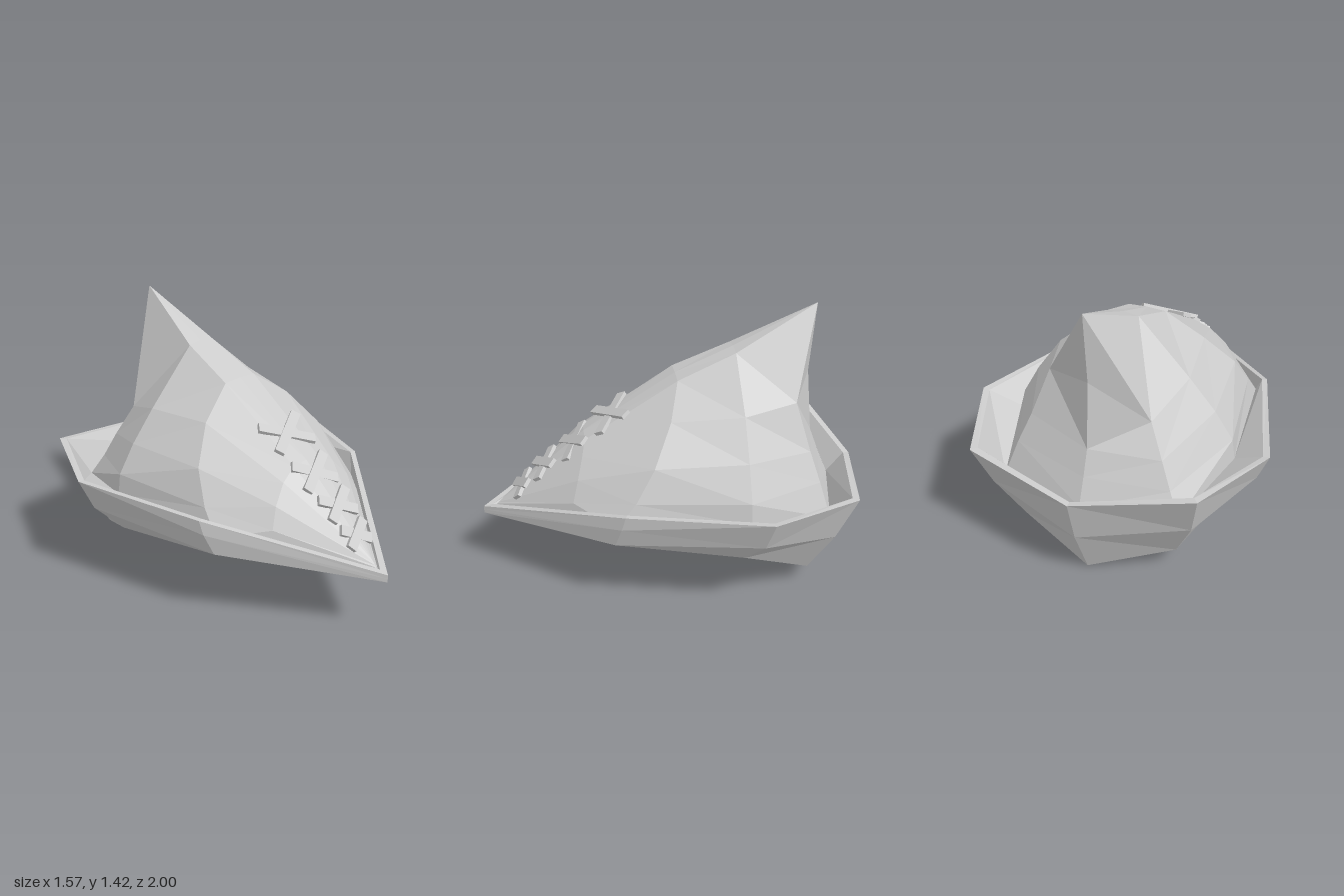
import * as THREE from 'three';

const material = new THREE.MeshStandardMaterial({
  color: 0xcccccc, flatShading: true, side: THREE.DoubleSide,
});

// Half loop (front, left side, back) completed by mirroring across x = 0.
// A fourth number gives the mirrored point its own height, for a hand-bent look.
function mirrorLoop(half) {
  const left = half.map(([x, y, z]) => [x, y, z]);
  const right = half.slice(1, -1).reverse().map(([x, y, z, rightY = y]) => [-x, rightY, z]);
  return [...left, ...right];
}

// Flat-shaded skin through stacked loops; diagonals are mirrored left to right.
function skin(name, halfLoops, flipDiagonals) {
  const loops = halfLoops.map(mirrorLoop);
  const n = loops[0].length;
  const positions = [];
  const [a, b, c] = [new THREE.Vector3(), new THREE.Vector3(), new THREE.Vector3()];
  const triangle = (p, q, r) => {
    a.fromArray(p); b.fromArray(q); c.fromArray(r);
    if (b.clone().sub(a).cross(c.clone().sub(a)).length() < 1e-6) return;
    positions.push(...p, ...q, ...r);
  };
  for (let i = 0; i < loops.length - 1; i++) {
    for (let j = 0; j < n; j++) {
      const k = (j + 1) % n;
      const p = loops[i][j], q = loops[i][k], r = loops[i + 1][k], s = loops[i + 1][j];
      if ((j < n / 2) !== flipDiagonals) {
        triangle(p, q, r);
        triangle(p, r, s);
      } else {
        triangle(p, q, s);
        triangle(q, r, s);
      }
    }
  }
  const geometry = new THREE.BufferGeometry();
  geometry.setAttribute('position', new THREE.Float32BufferAttribute(positions, 3));
  geometry.computeVertexNormals();
  const mesh = new THREE.Mesh(geometry, material);
  mesh.name = name;
  return mesh;
}

// Upturned brim with its hollow: ceiling, inner wall, lower edge, outer wall, rim, channel.
function createBrim() {
  const center = [0, 0.58, -0.1];
  return skin('brim', [
    [center, center, center, center, center],
    [[0, 0.49, 0.68], [0.4, 0.6, 0.24], [0.47, 0.62, -0.3], [0.31, 0.28, -0.72], [0, 0.2, -0.82]],
    [[0, 0.32, 0.95], [0.48, 0.4, 0.32], [0.54, 0.31, -0.27], [0.34, 0.11, -0.58, 0.14], [0, 0.01, -0.73]],
    [[0, 0.32, 1], [0.52, 0.4, 0.34], [0.59, 0.31, -0.3], [0.42, 0.1, -0.68, 0.135], [0, 0, -0.82]],
    [[0, 0.34, 1], [0.56, 0.51, 0.31], [0.72, 0.45, -0.37], [0.53, 0.35, -0.78, 0.385], [0, 0.29, -0.94]],
    [[0, 0.36, 1], [0.57, 0.585, 0.29], [0.785, 0.615, -0.4], [0.585, 0.595, -0.87, 0.64], [0, 0.535, -1]],
    [[0, 0.37, 0.95], [0.545, 0.585, 0.28], [0.75, 0.61, -0.4], [0.56, 0.595, -0.84, 0.64], [0, 0.535, -0.97]],
    [[0, 0.36, 0.94], [0.5, 0.48, 0.33], [0.59, 0.5, -0.33], [0.46, 0.42, -0.77], [0, 0.43, -0.88]],
  ], false);
}

// Peaked crown, from its base up to the ridge and the pinched rear tip.
function createCrown() {
  const tip = [0, 1.42, -0.76];
  return skin('crown', [
    [[0, 0.36, 0.94], [0.32, 0.43, 0.55], [0.5, 0.48, 0.33], [0.59, 0.5, -0.33], [0.46, 0.42, -0.77], [0, 0.43, -0.88]],
    [[0, 0.37, 0.93], [0.31, 0.53, 0.53], [0.48, 0.6, 0.23], [0.575, 0.61, -0.33], [0.4, 0.6, -0.72, 0.53], [0, 0.57, -0.82]],
    [[0, 0.38, 0.92], [0.26, 0.63, 0.5], [0.43, 0.76, 0.13], [0.48, 0.78, -0.33, 0.755], [0.34, 0.75, -0.675, 0.66], [0, 0.7, -0.77]],
    [[0, 0.39, 0.91], [0.18, 0.72, 0.47], [0.29, 0.94, 0.03, 0.93], [0.345, 0.97, -0.33, 0.915], [0.26, 0.99, -0.61, 0.82], [0, 1.05, -0.735]],
    [[0, 0.4, 0.9], [0.09, 0.77, 0.45], [0.1, 1.075, -0.03], [0.08, 1.2, -0.33], tip, tip],
    [[0, 0.4, 0.9], [0, 0.78, 0.45], [0, 1.08, -0.03], [0, 1.21, -0.33], tip, tip],
  ], true);
}

// Crossed laces lying along the sloping front of the crown.
function createLaces() {
  const laces = new THREE.Group();
  laces.name = 'laces';
  const crosses = [ // y, z, bar length, slope from vertical
    [0.87, 0.305, 0.31, 1.0],
    [0.722, 0.5, 0.265, 0.82],
    [0.603, 0.66, 0.225, 0.82],
    [0.49, 0.783, 0.185, 0.7],
  ];
  for (const [y, z, length, slope] of crosses) {
    const cross = new THREE.Group();
    cross.name = 'crossedLace';
    cross.position.set(0.008, y, z);
    cross.rotation.x = -slope;
    for (const side of [-1, 1]) {
      const bar = new THREE.Mesh(new THREE.BoxGeometry(length, 0.052, 0.02), material);
      bar.name = 'laceBar';
      bar.rotation.z = side * 0.58;
      bar.position.z = side > 0 ? 0.01 : 0.002;
      cross.add(bar);
    }
    laces.add(cross);
  }
  return laces;
}

export function createModel() {
  const hat = new THREE.Group();
  hat.name = 'peakedHat';
  hat.add(createBrim(), createCrown(), createLaces());
  return hat;
}
